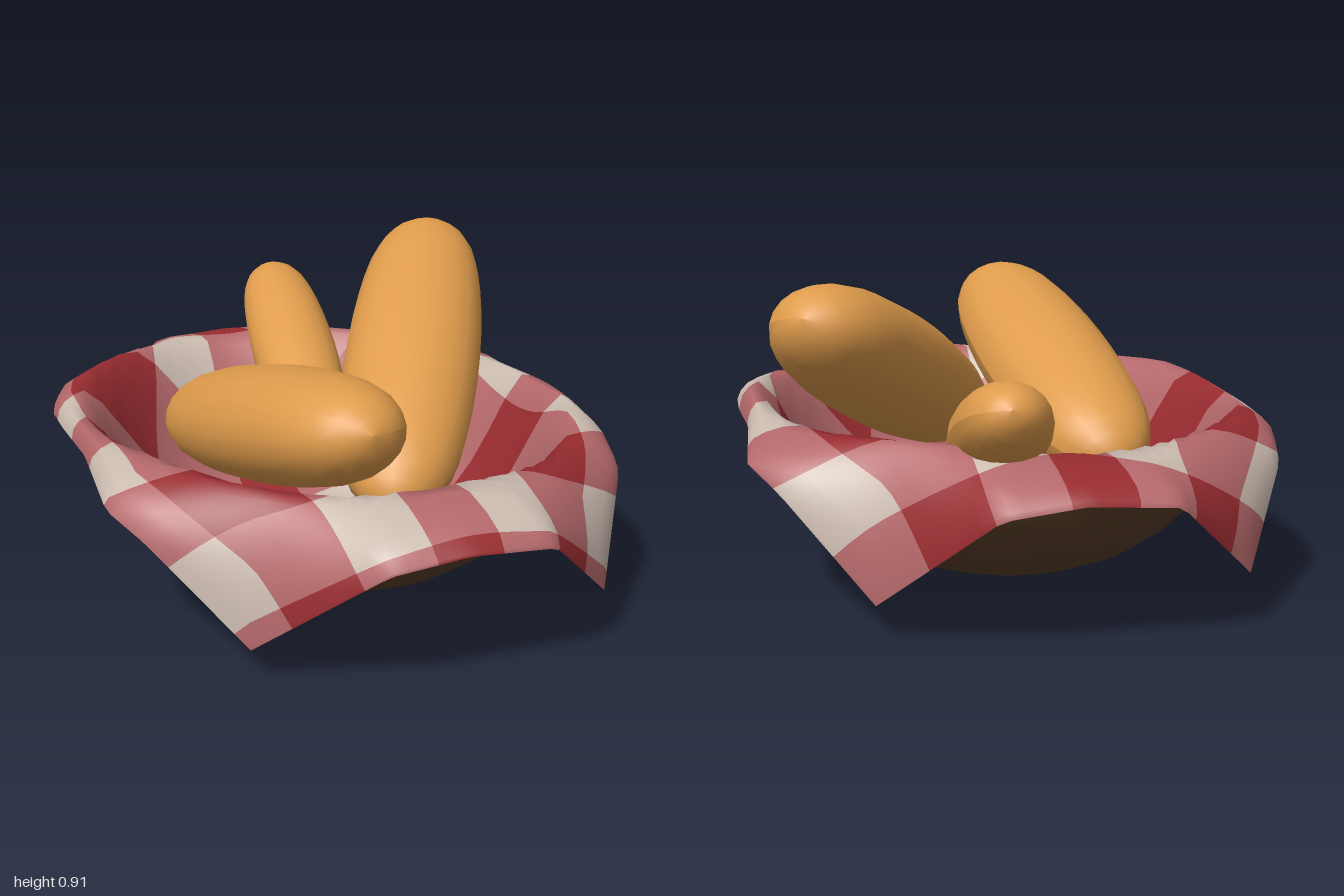
import * as THREE from 'three';

const mat = (name, color, side = THREE.FrontSide) => {
  const m = new THREE.MeshStandardMaterial({ color, side });
  m.name = name;
  return m;
};

// Cloth hem: [side parameter, x, y, z]; the other two sides are these turned by 180 degrees
const longHem = [
  [-1, -0.96, 0.16, 0.10], [-0.6, -0.82, 0.39, 0.36], [-0.45, -0.69, 0.42, 0.48], [-0.2, -0.54, 0.43, 0.56],
  [0.1, -0.31, 0.43, 0.66], [0.47, 0.02, 0.42, 0.855], [0.6, 0.16, 0.36, 0.84], [1, 0.42, 0.10, 0.72],
];
const shortHem = [
  [-1, 0.42, 0.10, 0.72], [-0.4, 0.79, 0.39, 0.60], [-0.05, 0.90, 0.42, 0.42],
  [0.4, 1.0, 0.40, 0.20], [1, 0.96, 0.16, -0.10],
];

function along(hem, t) {
  let i = 0;
  while (i < hem.length - 2 && t > hem[i + 1][0]) i++;
  const a = hem[i], b = hem[i + 1];
  const k = (t - a[0]) / (b[0] - a[0]);
  return new THREE.Vector3(a[1], a[2], a[3]).lerp(new THREE.Vector3(b[1], b[2], b[3]), k);
}

function hemPoint(p, q) {
  if (Math.abs(q) >= Math.abs(p)) {
    if (q < 0) return along(longHem, p);
    const v = along(longHem, -p);
    return v.set(-v.x, v.y, -v.z);
  }
  if (p > 0) return along(shortHem, q);
  const v = along(shortHem, -q);
  return v.set(-v.x, v.y, -v.z);
}

// Place a point of the cloth (p, q in -1..1): lining, rim, then overhang
function drape(p, q) {
  const rimAt = 0.82, floor = 0.05, m = Math.max(Math.abs(p), Math.abs(q));
  if (m < 1e-4) return new THREE.Vector3(0, floor, 0);
  const d = Math.hypot(p, q);
  const hem = hemPoint(p / m, q / m);
  const ang = Math.atan2(hem.z / 0.67, hem.x / 0.78);
  const rim = new THREE.Vector3(0.78 * Math.cos(ang), 0.505 + 0.01 * Math.sin(5 * ang), 0.67 * Math.sin(ang));
  if (d <= rimAt) {
    const s = d / rimAt;
    const lift = THREE.MathUtils.smoothstep(s ** 3, 0, 1);
    return new THREE.Vector3(rim.x * s, floor + (rim.y - floor) * lift, rim.z * s);
  }
  const t = (d - rimAt) / (d / m - rimAt);
  const out = Math.sin(t * Math.PI / 2);
  return new THREE.Vector3(
    THREE.MathUtils.lerp(rim.x, hem.x, out),
    THREE.MathUtils.lerp(rim.y, hem.y, t ** 1.4),
    THREE.MathUtils.lerp(rim.z, hem.z, out));
}

// Check coordinates from one hem to the other, split finely and at every whole number
function checkSteps(from, to) {
  const sub = 5, a = [from];
  for (let i = Math.floor(from * sub) + 1; i < to * sub - 1e-6; i++) {
    if (i / sub > from + 1e-6) a.push(i / sub);
  }
  a.push(to);
  return a;
}

// Gingham cloth: grid lines follow the checks, one material group per colour
function clothGeometry() {
  const u0 = 1.3, u1 = 9.25, v0 = 0.4, v1 = 6.85;
  const us = checkSteps(u0, u1), vs = checkSteps(v0, v1), pos = [], tris = [[], [], []];
  for (const v of vs) {
    for (const u of us) {
      pos.push(...drape(2 * (u - u0) / (u1 - u0) - 1, 2 * (v - v0) / (v1 - v0) - 1).toArray());
    }
  }
  for (let j = 0; j < vs.length - 1; j++) {
    for (let i = 0; i < us.length - 1; i++) {
      const shade = Math.floor(us[i]) % 2 + Math.floor(vs[j]) % 2;
      const a = j * us.length + i, b = a + 1, c = a + us.length, e = c + 1;
      tris[shade].push(a, b, e, a, e, c);
    }
  }
  const geo = new THREE.BufferGeometry();
  geo.setAttribute('position', new THREE.Float32BufferAttribute(pos, 3));
  geo.setIndex(tris.flat());
  let start = 0;
  tris.forEach((t, i) => { geo.addGroup(start, t.length, i); start += t.length; });
  geo.computeVertexNormals();
  return geo;
}

// Blunt loaf lying between two end points
function loaf(name, material, from, to, width, height) {
  const a = new THREE.Vector3(...from), b = new THREE.Vector3(...to);
  const dir = b.clone().sub(a), half = dir.length() / 2;
  dir.normalize();
  const geo = new THREE.SphereGeometry(1, 20, 18), pos = geo.attributes.position;
  for (let i = 0; i < pos.count; i++) {
    const y = THREE.MathUtils.clamp(pos.getY(i), -1, 1);
    const ring = Math.hypot(pos.getX(i), pos.getZ(i));
    const r = Math.sqrt(Math.max(0, 1 - Math.abs(y) ** 8)) * (1 - 0.3 * y * y);
    const k = ring < 1e-5 ? 0 : r / ring;
    pos.setXYZ(i, pos.getX(i) * k * width, y * half, pos.getZ(i) * k * height);
  }
  geo.computeVertexNormals();
  const side = dir.clone().cross(new THREE.Vector3(0, 1, 0)).normalize();
  const up = side.clone().cross(dir);
  const mesh = new THREE.Mesh(geo, material);
  mesh.name = name;
  mesh.quaternion.setFromRotationMatrix(new THREE.Matrix4().makeBasis(side, dir, up));
  mesh.position.copy(a).add(b).multiplyScalar(0.5);
  return mesh;
}

export function createModel() {
  const group = new THREE.Group();
  group.name = 'breadBasket';
  const crust = mat('crust', 0xe09c4c);
  const wood = mat('darkWood', 0x5a3e29, THREE.DoubleSide);
  const checks = [
    mat('clothWhite', 0xcbbbb0, THREE.DoubleSide),
    mat('clothPink', 0xb4686a, THREE.DoubleSide),
    mat('clothRed', 0x982c30, THREE.DoubleSide),
  ];

  // Oval bowl
  const profile = [[0, 0], [0.23, 0], [0.36, 0.035], [0.485, 0.09], [0.59, 0.165], [0.675, 0.25],
    [0.735, 0.335], [0.765, 0.41], [0.775, 0.465]].map(([x, y]) => new THREE.Vector2(x, y));
  const bowl = new THREE.Mesh(new THREE.LatheGeometry(profile, 40), wood);
  bowl.scale.z = 0.86;
  bowl.name = 'bowl';
  group.add(bowl);

  // Draped cloth
  const cloth = new THREE.Mesh(clothGeometry(), checks);
  cloth.name = 'checkedCloth';
  group.add(cloth);

  // Loaves
  group.add(
    loaf('backLoaf', crust, [-0.27, 0.84, -0.82], [0.44, 0.34, 0.185], 0.208, 0.17),
    loaf('frontLoaf', crust, [-0.475, 0.36, 0.07], [0.68, 0.715, 0.54], 0.208, 0.167),
    loaf('smallLoaf', crust, [-0.78, 0.658, -0.565], [-0.085, 0.33, -0.085], 0.138, 0.117));
  return group;
}
